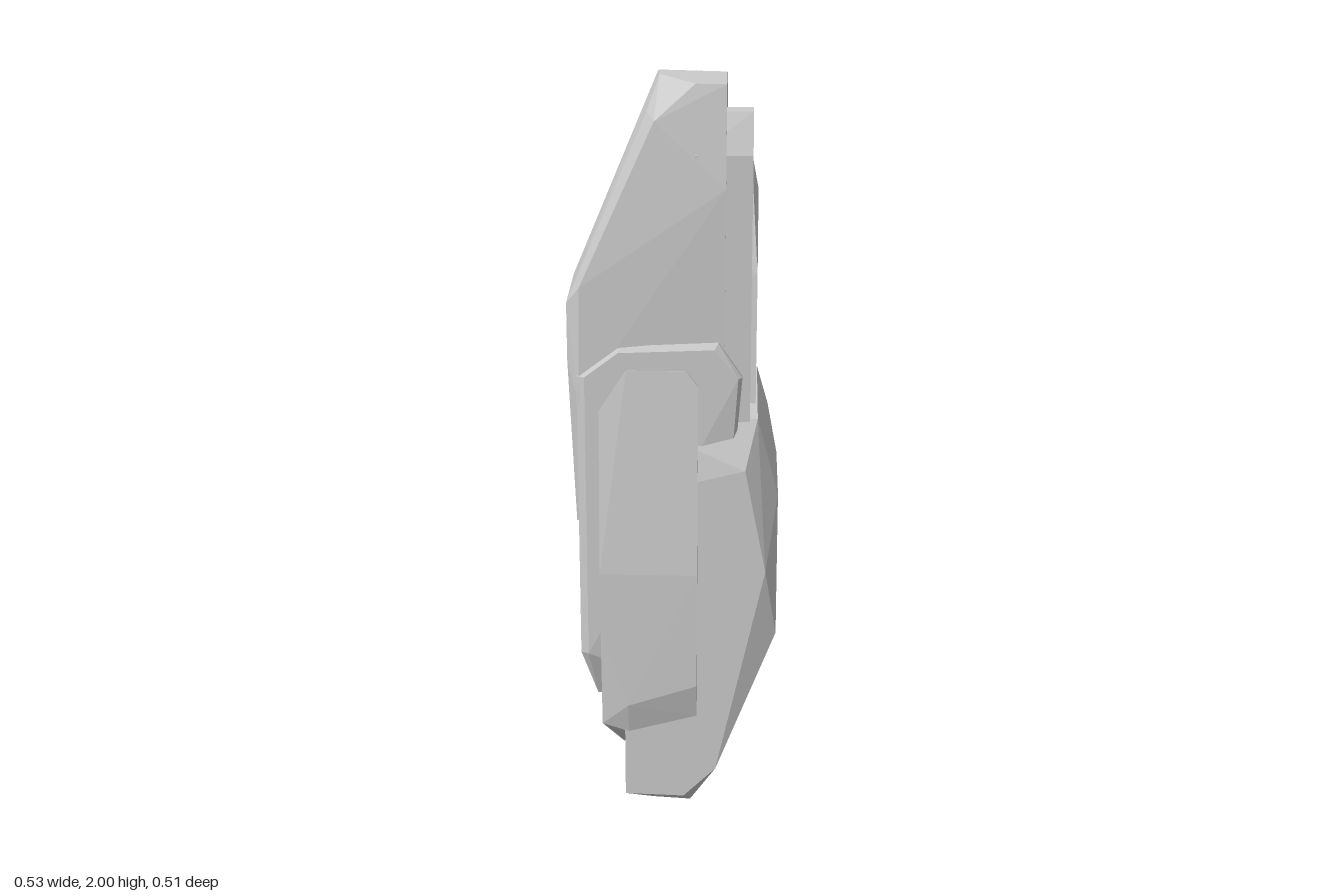
import * as THREE from 'three';
import { ConvexGeometry } from 'three/addons/geometries/ConvexGeometry.js';

const stone = new THREE.MeshStandardMaterial({ color: 0xcccccc, flatShading: true });

// A chipped slab: the convex hull of its corner points
function slab(name, corners) {
  const points = corners.map(([x, y, z]) => new THREE.Vector3(x, y, z));
  const mesh = new THREE.Mesh(new ConvexGeometry(points), stone);
  mesh.name = name;
  return mesh;
}

export function createModel() {
  const rock = new THREE.Group();
  rock.name = 'rockPillar';

  // Tall slab with the sloping shoulder
  rock.add(slab('tallSlab', [
    [0.125, 2, 0.175], [0.05, 2, 0.17], [-0.04, 2, 0.055], [-0.045, 2, 0.0], [0.125, 2, 0.02],
    [-0.02, 1.94, -0.2], [0.125, 1.94, -0.2], [-0.05, 1.91, 0.18], [-0.07, 1.92, 0.11],
    [-0.245, 1.45, -0.2], [-0.27, 1.45, -0.09], [-0.27, 1.45, 0.16], [-0.235, 1.5, 0.198],
    [0.125, 1.75, 0.198],
    [-0.27, 1.2, -0.09], [-0.27, 1.3, 0.16], [-0.24, 1.2, 0.2], [-0.245, 1.2, -0.2],
    [-0.255, 0.85, -0.06], [-0.255, 0.85, 0.13], [-0.2, 0.85, 0.18], [-0.2, 0.9, -0.19],
    [0.0, 0.95, -0.18], [0.125, 0.9, -0.18], [0.125, 0.85, 0.18],
  ]));

  // Narrow slab on the left of the tall one
  rock.add(slab('sideSlab', [
    [0.19, 1.93, 0.15], [0.19, 1.93, 0.1], [0.19, 1.87, 0], [0.19, 1.85, -0.06],
    [0.19, 1.74, -0.09], [0.19, 1.83, 0.183], [0.19, 0.9, 0.183], [0.19, 0.9, -0.09],
    [0.05, 1.93, 0.15], [0.05, 1.93, 0.1], [0.05, 1.87, -0.06], [0.05, 1.76, -0.1],
    [0.05, 1.83, 0.19], [0.05, 0.9, 0.19], [0.05, 0.9, -0.1],
  ]));

  // Slab on the back
  rock.add(slab('backSlab', [
    [0.19, 1.74, 0.02], [0.19, 1.74, -0.21], [0.14, 1.74, -0.215], [0.0, 1.7, -0.215],
    [0.0, 1.74, 0.0], [0.205, 1.69, 0], [0.205, 1.69, -0.065], [0.205, 1.57, -0.18],
    [0.205, 1.5, 0.07], [0.205, 1.15, -0.235], [0.205, 0.8, -0.235], [0.205, 0.8, 0.07],
    [0.165, 1.4, -0.25], [0.0, 1.4, -0.25], [0.165, 0.72, -0.255], [0.0, 0.72, -0.255],
    [-0.05, 1.35, -0.23], [-0.05, 0.76, -0.235], [-0.05, 1.35, 0], [-0.05, 0.76, 0],
    [0.17, 0.63, -0.22], [-0.02, 0.63, -0.22], [0.17, 0.63, 0], [-0.02, 0.63, 0],
  ]));

  // Broad base
  rock.add(slab('baseStone', [
    [-0.06, 0, 0.09], [0.04, 0, 0.1], [0.03, 0, 0.04], [-0.06, 0, 0.04],
    [-0.13, 0.09, 0.225], [0.025, 0.085, 0.225], [0.11, 0.17, 0.225],
    [-0.13, 0.08, 0.05], [-0.13, 0.07, -0.12], [0.05, 0.06, -0.13],
    [-0.13, 0.31, -0.21], [0.1, 0.31, -0.21], [-0.13, 0.5, -0.225], [0.18, 0.55, -0.225],
    [0.265, 0.56, 0.19], [0.265, 0.56, -0.08], [0.265, 0.94, 0.155], [0.265, 0.94, -0.14],
    [0.235, 0.75, 0.225], [0.18, 1.03, 0.225], [0.21, 1.155, 0.18], [0.21, 1.155, -0.225],
    [0.24, 1.05, -0.225], [-0.13, 1.155, -0.225], [-0.13, 1.155, 0.19], [-0.13, 0.95, 0.225],
  ]));

  // Middle slab running through from front to back
  const middle = [];
  for (const z of [0.207, -0.207]) {
    const inner = z * 0.95;
    middle.push([-0.225, 1.27, z], [-0.14, 1.335, z], [0.1, 1.345, z], [0.16, 1.27, z],
      [-0.14, 1.35, inner], [0.11, 1.36, inner], [-0.245, 1.27, inner], [0.17, 1.27, inner],
      [-0.245, 0.5, inner], [-0.225, 0.5, z], [-0.205, 0.36, inner * 0.8], [0.1, 0.36, inner * 0.8]);
  }
  rock.add(slab('middleSlab', middle));

  // Raised flake on the front
  rock.add(slab('frontFlake', [
    [-0.12, 1.29, 0.21], [0.03, 1.29, 0.21], [-0.19, 1.18, 0.21], [0.06, 1.25, 0.213],
    [-0.19, 0.75, 0.25], [-0.055, 0.9, 0.238], [0.06, 0.75, 0.252],
    [-0.12, 0.37, 0.25], [0.06, 0.43, 0.25], [-0.19, 0.6, 0.25],
    [-0.12, 0.28, 0.225], [0.06, 0.33, 0.225], [-0.19, 0.3, 0.22],
    [-0.19, 1.18, 0], [0.06, 1.25, 0],
    [-0.19, 0.25, 0.12], [-0.19, 0.25, 0.02], [-0.19, 0.4, -0.05],
    [-0.14, 0.18, 0.1], [-0.14, 0.18, 0.04], [0.03, 0.25, 0.1], [0.03, 0.25, 0.04],
  ]));

  return rock;
}
